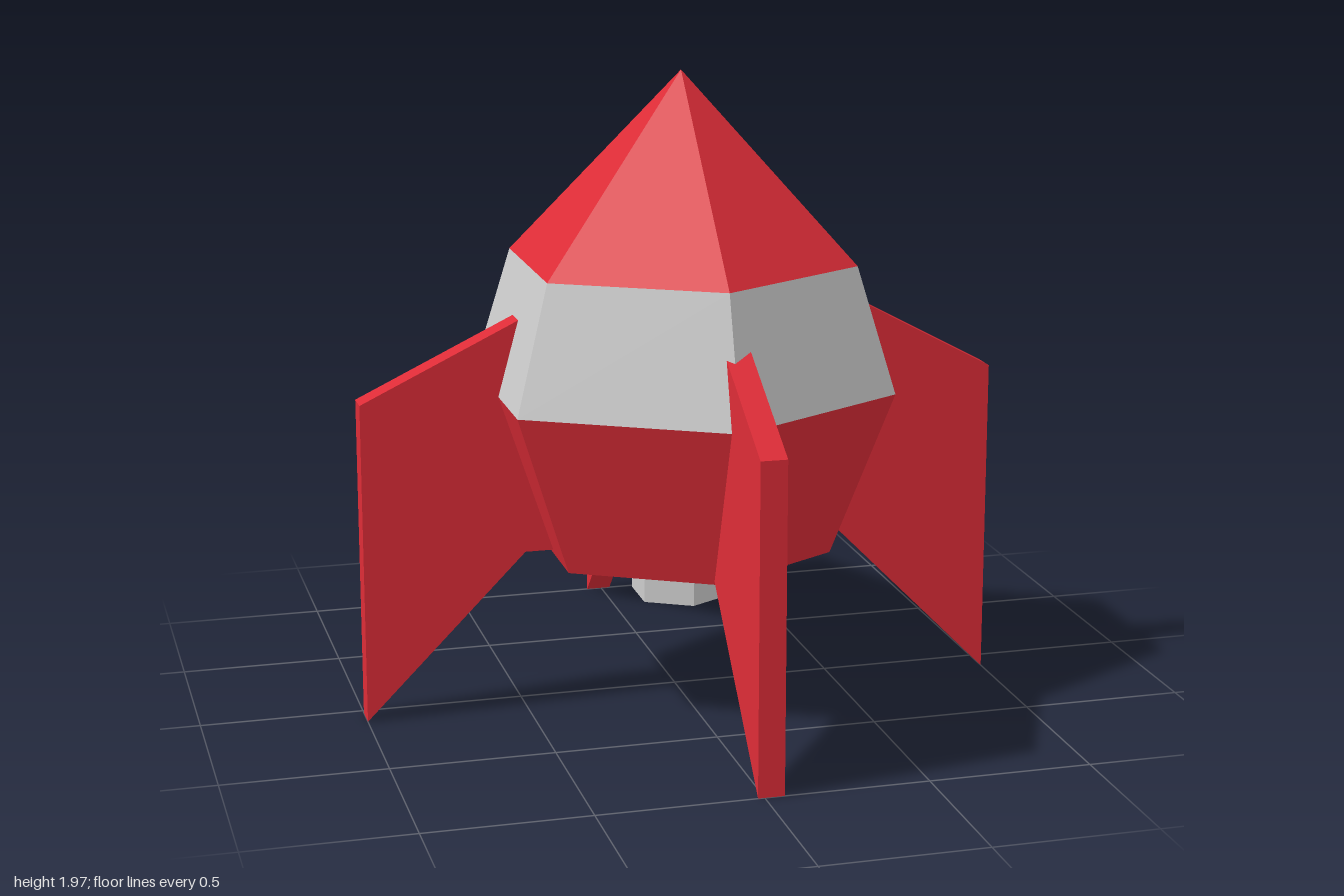
import * as THREE from 'three';

const CX = 0.007, CZ = 0.048; // body axis

export function createModel() {
  const group = new THREE.Group();
  const red = new THREE.MeshStandardMaterial({ color: 0xdd2c37, flatShading: true });
  const grey = new THREE.MeshStandardMaterial({ color: 0xcccccc, flatShading: true });

  // Six-sided section between two heights, corners facing front and back
  function section(name, material, y0, r0, y1, r1, open) {
    const geometry = new THREE.CylinderGeometry(r1, r0, y1 - y0, 6, 1, open);
    const mesh = new THREE.Mesh(geometry, material);
    mesh.name = name;
    mesh.position.set(CX, (y0 + y1) / 2, CZ);
    mesh.scale.z = 0.98;
    group.add(mesh);
  }

  section('nozzle', grey, 0.32, 0.159, 0.5, 0.159, false);
  section('lowerHull', red, 0.485, 0.477, 1.0, 0.675, false);
  section('upperHull', grey, 1.0, 0.675, 1.39, 0.552, true);
  section('noseCone', red, 1.39, 0.552, 1.965, 0, true);

  // Swept fin: profile runs outward along x, its root buried in the hull
  function fin(name, angle, x, z, slope) {
    const root = 0.32, thickness = 0.08;
    const shape = new THREE.Shape([
      new THREE.Vector2(root, 0.505),
      new THREE.Vector2(0.5, 0.505),
      new THREE.Vector2(1, 0),
      new THREE.Vector2(1, 1),
      new THREE.Vector2(root, 1 + slope * (1 - root)),
    ]);
    const geometry = new THREE.ExtrudeGeometry(shape, { depth: thickness, bevelEnabled: false });
    geometry.translate(0, 0, -thickness / 2);
    const mesh = new THREE.Mesh(geometry, red);
    mesh.name = name;
    mesh.rotation.y = angle;
    mesh.position.set(x, 0, z);
    group.add(mesh);
  }

  fin('leftFin', 0, 0, 0.06, 0.54);
  fin('rightFin', Math.PI, 0, 0.06, 0.48);
  fin('frontFin', -Math.PI / 2 - 0.015, 0.035, 0, 0.555);
  fin('backFin', Math.PI / 2 + 0.01, 0, 0, 0.49);

  return group;
}
